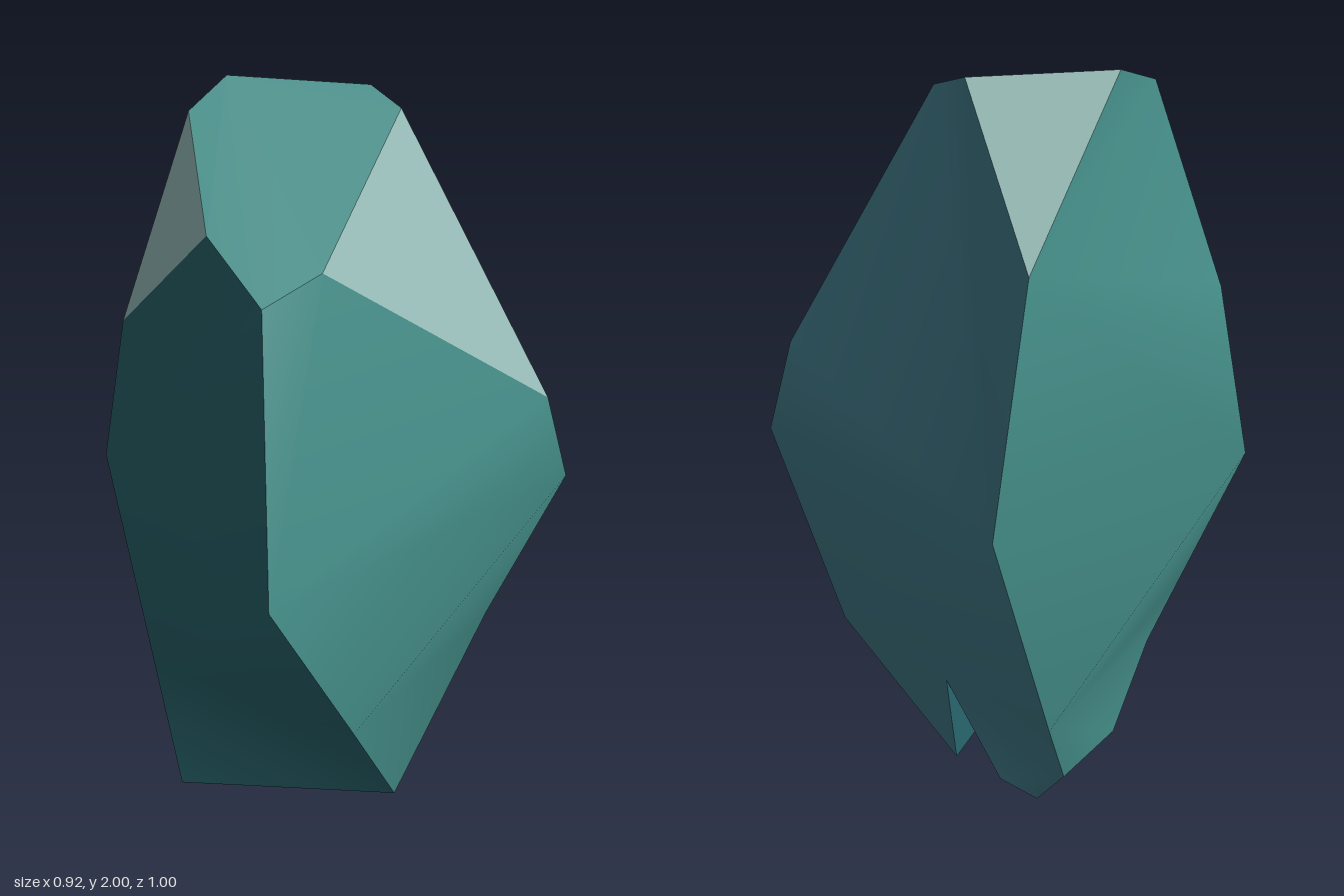
import * as THREE from 'three';

// Corners of the crystal, grouped by level
const P = {
  // crown
  t1: [-0.25, 2.0, 0.105], t2: [-0.04, 1.98, -0.16], t3: [0.05, 1.94, -0.18], t4: [-0.225, 1.94, 0.23],
  t5: [0.05, 1.74, 0.37], t6: [0.265, 1.68, 0.21], t7: [0.26, 1.63, 0.37],
  // shoulders
  s1: [-0.335, 1.63, -0.21], s2: [-0.335, 1.42, 0.37], s3: [0.335, 1.24, -0.43],
  // widest ring
  A: [-0.385, 1.01, -0.35], B: [0.345, 1.01, -0.5], C: [0.455, 1.01, 0.5], D: [-0.46, 1.01, 0.37],
  // lower ring, one corner below each of the widest ring
  T: [-0.362, 0.315, -0.157], I: [0.125, 0.52, -0.45], H: [0.449, 0.59, 0.256], W: [-0.242, 0.48, 0.383],
  // foot
  E: [0.445, 0.36, 0.125], F: [-0.12, 0.18, 0.39], G: [0.0, 0.25, -0.33],
  K: [-0.25, 0.06, 0.16], L: [-0.28, 0, -0.13], M: [-0.355, 0.12, -0.1],
  // notch in the foot
  N: [-0.025, 0.17, -0.03], Q: [-0.12, 0.4, -0.305], S: [-0.13, 0.13, -0.285], U: [-0.21, 0.06, -0.2],
};
const v = (k) => new THREE.Vector3(...P[k]);
const CORE = new THREE.Vector3(-0.05, 0.8, 0);

// One facet: convex corner lists are fanned, and every triangle is turned away from the inside point
function facet(name, material, polygons, inside = CORE) {
  const keys = [...new Set(polygons.flatMap((p) => p.split(' ')))];
  const index = [];
  for (const poly of polygons) {
    const c = poly.split(' ');
    for (let i = 1; i < c.length - 1; i++) {
      const tri = [c[0], c[i], c[i + 1]];
      const [a, b, d] = tri.map(v);
      const normal = b.sub(a).cross(d.sub(a));
      if (normal.dot(a.sub(inside)) < 0) tri.reverse();
      index.push(...tri.map((k) => keys.indexOf(k)));
    }
  }
  const g = new THREE.BufferGeometry();
  g.setAttribute('position', new THREE.Float32BufferAttribute(keys.flatMap((k) => P[k]), 3));
  g.setIndex(index);
  g.computeVertexNormals(); // soft within a facet, sharp between facets
  const mesh = new THREE.Mesh(g, material);
  mesh.name = name;
  return mesh;
}

function paint(name, color) {
  const m = new THREE.MeshStandardMaterial({ color });
  m.name = name;
  return m;
}

export function createModel() {
  const teal = paint('teal', 0x458f8a);
  const deep = paint('deepTeal', 0x28646c);
  const blue = paint('slateBlue', 0x407887);
  const pale = paint('paleTeal', 0x94bab6);

  const group = new THREE.Group();
  group.name = 'crystalRock';
  group.add(
    // large sides
    facet('frontFacet', deep, ['D C t7 t5 s2', 'D W C', 'C W H', 'W F E H']),
    facet('leftFacet', teal, ['C B s3 t6 t7', 'B C H', 'B H I', 'H E I', 'E G I']),
    facet('rightFacet', teal, ['s1 A D s2', 's1 s2 t4 t1', 'A D T', 'D W T', 'T W F', 'T F K M', 'K L M']),
    facet('backFacet', blue, ['A s1 t2 t3 s3 B', 'A B I', 'A I T', 'T I Q', 'I G Q', 'G S Q', 'T Q M', 'M Q U', 'M U L']),
    facet('topFacet', teal, ['t1 t2 t3 t6 t7 t5 t4']),
    // chipped corners
    facet('frontChip', pale, ['t4 s2 t5']),
    facet('backChip', pale, ['t1 t2 s1']),
    facet('sideChip', pale, ['t3 s3 t6']),
    // underside with its notch
    facet('bottomFacet', pale, ['E F N', 'F K N', 'K L N', 'L U N', 'E N G', 'N S G']),
    facet('notchWallA', deep, ['N Q S'], v('G')),
    facet('notchWallB', deep, ['N Q U'], v('L')),
  );
  return group;
}
